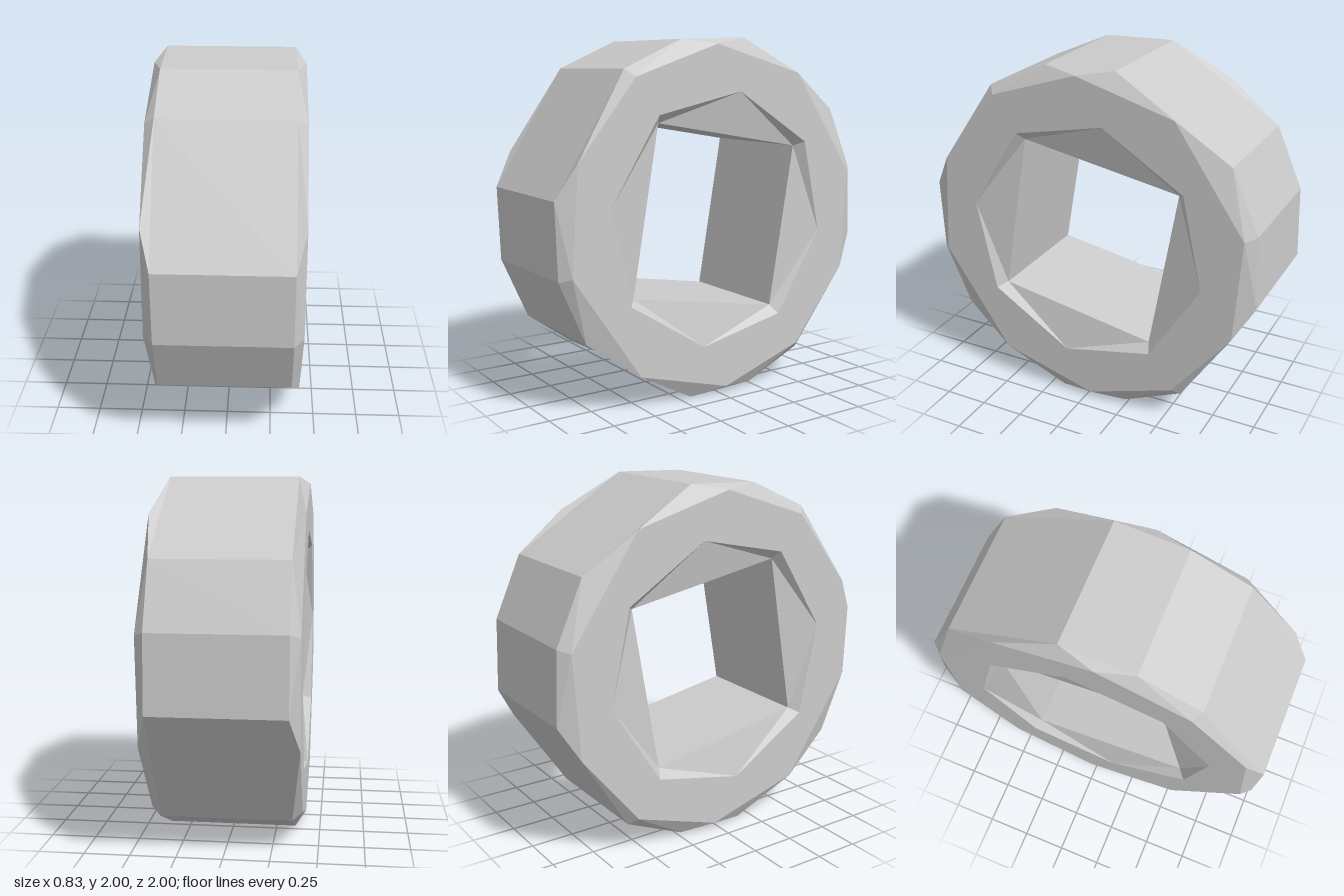
import * as THREE from 'three';

// Repeats a few (z, y) points around the x axis to make a closed loop.
function turn(points, times) {
  const loop = [];
  for (let k = 0; k < times; k++) {
    const a = (k * 2 * Math.PI) / times, c = Math.cos(a), s = Math.sin(a);
    for (const [z, y] of points) loop.push([z * c - y * s, z * s + y * c]);
  }
  return loop;
}

// Places a loop at a given x, with the ring's centre at y = 1.
const at = (loop, x) => loop.map(([z, y]) => new THREE.Vector3(x, y + 1, z));

// Joins two closed loops with triangles, always taking the shorter diagonal.
function stitch(a, b) {
  const pos = [];
  let i = 0, j = 0;
  while (i < a.length || j < b.length) {
    const p = a[i % a.length], q = b[j % b.length];
    const pn = a[(i + 1) % a.length], qn = b[(j + 1) % b.length];
    const stepA = j >= b.length || (i < a.length && pn.distanceTo(q) <= qn.distanceTo(p));
    for (const v of [p, q, stepA ? pn : qn]) pos.push(v.x, v.y, v.z);
    if (stepA) i++; else j++;
  }
  const geo = new THREE.BufferGeometry();
  geo.setAttribute('position', new THREE.Float32BufferAttribute(pos, 3));
  geo.computeVertexNormals();
  return geo;
}

export function createModel() {
  const group = new THREE.Group();
  const material = new THREE.MeshStandardMaterial({ color: 0xcccccc, flatShading: true });

  // Loops from the outside in: rim, edge of the flat side, mouth of the hole, square bore
  const rim = turn([[1, 0.175], [0.59, 0.83], [0.24, 0.985]], 4);
  const edge = turn([[0.89, 0.365], [0.55, 0.79], [0.035, 0.962], [-0.53, 0.805], [-0.93, 0.22]], 2);
  const mouth = turn([[0.705, 0.12], [0.41, 0.59]], 4);
  const bore = turn([[0.385, 0.545]], 4);
  const inner = 0.36, outer = 0.413;

  // One closed band of loops around the ring's section
  const loops = [
    at(rim, inner), at(edge, outer), at(mouth, outer), at(bore, inner),
    at(bore, -inner), at(mouth, -outer), at(edge, -outer), at(rim, -inner),
  ];
  const names = [
    'leftBevel', 'leftFace', 'leftChamfer', 'squareBore',
    'rightChamfer', 'rightFace', 'rightBevel', 'outerBand',
  ];
  names.forEach((name, k) => {
    const mesh = new THREE.Mesh(stitch(loops[k], loops[(k + 1) % loops.length]), material);
    mesh.name = name;
    group.add(mesh);
  });
  return group;
}
